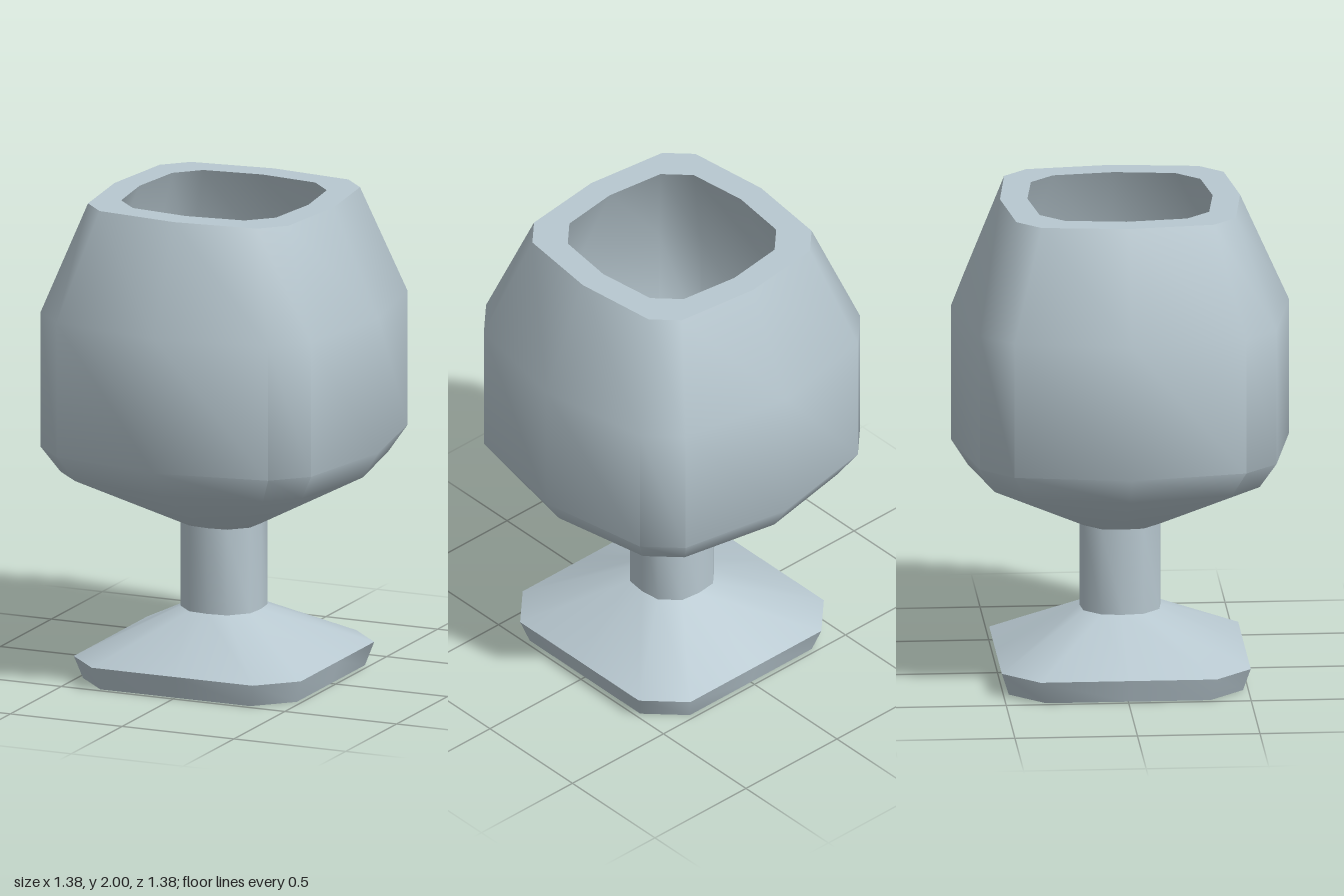
import * as THREE from 'three';
import { toCreasedNormals } from 'three/addons/utils/BufferGeometryUtils.js';

// Rounded-square ring: m = reach at the middle of a side, (a, b) = chamfer corner
function ringPoints([y, m, a, b]) {
  const points = [];
  for (let q = 0; q < 4; q++) {
    const c = Math.round(Math.cos(q * Math.PI / 2));
    const s = Math.round(Math.sin(q * Math.PI / 2));
    for (const [x, z] of [[m, 0], [a, b], [b, a]]) {
      points.push([x * c - z * s, y, x * s + z * c]);
    }
  }
  return points;
}

// Skin a run of rings; a ring of zero size closes an end
function loft(name, rings, material) {
  const loops = rings.map(ringPoints);
  const n = loops[0].length;
  const positions = [];
  for (let i = 0; i < loops.length - 1; i++) {
    for (let j = 0; j < n; j++) {
      const k = (j + 1) % n;
      const a = loops[i][j], b = loops[i + 1][j], c = loops[i + 1][k], d = loops[i][k];
      if (rings[i + 1][1] > 0) positions.push(...a, ...b, ...c);
      if (rings[i][1] > 0) positions.push(...a, ...c, ...d);
    }
  }
  const geometry = new THREE.BufferGeometry();
  geometry.setAttribute('position', new THREE.Float32BufferAttribute(positions, 3));
  const mesh = new THREE.Mesh(toCreasedNormals(geometry, 0.82), material);
  mesh.name = name;
  return mesh;
}

export function createModel() {
  const glass = new THREE.MeshStandardMaterial({ color: 0xb8c8d0 });
  glass.name = 'pale blue grey';

  const group = new THREE.Group();
  group.name = 'goblet';

  // Square foot with chamfered corners, sloping up to the stem
  group.add(loft('foot', [
    [0, 0, 0, 0],
    [0, 0.478, 0.478, 0.335],
    [0.095, 0.508, 0.508, 0.36],
    [0.28, 0.165, 0.155, 0.085],
  ], glass));

  // Short stem
  group.add(loft('stem', [
    [0.28, 0.165, 0.155, 0.085],
    [0.64, 0.165, 0.155, 0.085],
  ], glass));

  // Bowl: outer wall upward, flat rim, then the hollow down to its floor
  group.add(loft('bowl', [
    [0.64, 0.165, 0.155, 0.085],
    [0.88, 0.62, 0.54, 0.42],
    [0.99, 0.69, 0.605, 0.473],
    [1.555, 0.69, 0.605, 0.473],
    [2, 0.49, 0.448, 0.352],
    [2, 0.378, 0.346, 0.25],
    [1.53, 0.58, 0.51, 0.39],
    [1.02, 0.58, 0.51, 0.39],
    [0.93, 0.52, 0.455, 0.35],
    [0.73, 0.155, 0.14, 0.105],
    [0.73, 0, 0, 0],
  ], glass));

  return group;
}
